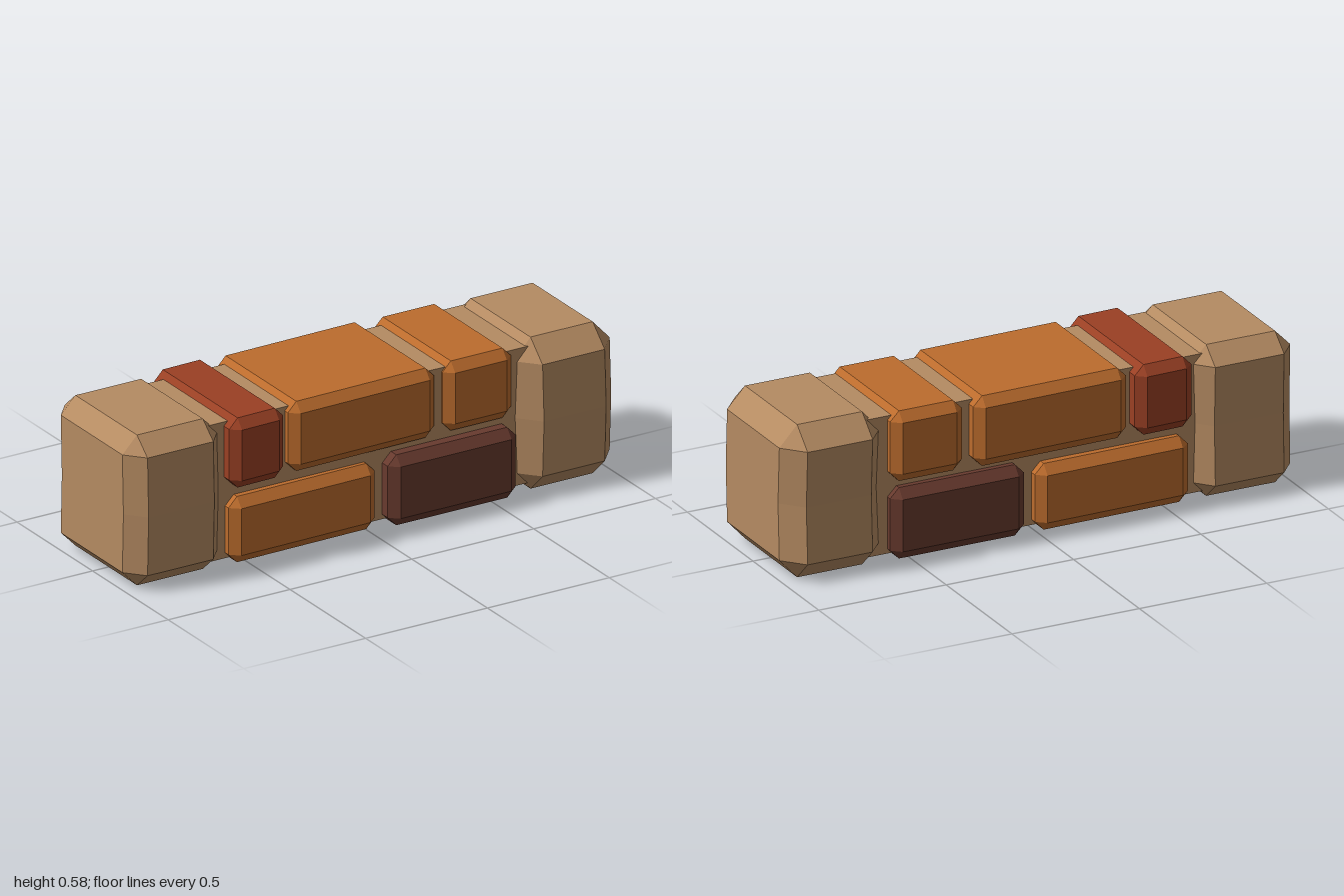
import * as THREE from 'three';

const mat = (name, color) => new THREE.MeshStandardMaterial({ name, color });

// Chamfered stone spanning lo..hi, with bevel c per axis.
// bow pushes the middle height toward +z; skew slides z along x.
function stone(lo, hi, c, bow = 0, skew = 0) {
  const g = new THREE.BoxGeometry(2, 2, 2, 4, 4, 4).toNonIndexed();
  const p = g.attributes.position;
  const half = lo.map((v, i) => (hi[i] - v) / 2);
  const mid = lo.map((v, i) => (hi[i] + v) / 2);
  for (let i = 0; i < p.count; i++) {
    const u = [p.getX(i), p.getY(i), p.getZ(i)];
    const n = u.filter((v) => Math.abs(v) > 0.9).length;
    const q = u.map((v, a) => {
      const s = Math.sign(v);
      if (Math.abs(v) < 0.1) return 0;
      // rim vertices slide inward so that edges and corners become flat bevels
      const inset = Math.abs(v) > 0.9 ? (c[a] * (n - 1)) / n : c[a];
      return s * (half[a] - inset);
    });
    const rise = Math.max(0, 1 - Math.abs(q[1]) / (half[1] - c[1]));
    q[2] += bow * rise + skew * (q[0] / half[0]);
    p.setXYZ(i, q[0] + mid[0], q[1] + mid[1], q[2] + mid[2]);
  }
  g.computeVertexNormals();
  return g;
}

export function createModel() {
  const model = new THREE.Group();
  model.name = 'brickWall';
  const sand = mat('sandstone', 0xb58b62);
  const orange = mat('orangeBrick', 0xbc6c2d);
  const red = mat('redBrick', 0x9a4024);
  const dark = mat('darkBrick', 0x683a2e);

  const add = (name, geometry, material) => {
    const m = new THREE.Mesh(geometry, material);
    m.name = name;
    model.add(m);
  };

  // Mortar core between the pillars
  const core = new THREE.BoxGeometry(1.4, 0.52, 0.425);
  core.translate(0, 0.29, -0.005);
  add('mortarCore', core, sand);

  // End pillars
  add('rightPillar', stone([-1, 0.005, -0.28], [-0.61, 0.577, 0.267], [0.06, 0.062, 0.07], 0.007), sand);
  add('leftPillar', stone([0.605, 0, -0.28], [1, 0.577, 0.277], [0.07, 0.076, 0.08], 0.01), sand);

  // Bricks running through the wall from front to back
  const b = [0.035, 0.036, 0.03];
  add('upperRedBrick', stone([-0.59, 0.305, -0.285], [-0.365, 0.57, 0.27], b, 0, -0.003), red);
  add('upperLongBrick', stone([-0.34, 0.305, -0.275], [0.265, 0.57, 0.253], b, 0, -0.005), orange);
  add('upperShortBrick', stone([0.303, 0.305, -0.268], [0.585, 0.57, 0.243], b), orange);
  add('lowerLongBrick', stone([-0.585, 0.015, -0.27], [0.02, 0.265, 0.256], b, 0, -0.004), orange);
  add('lowerDarkBrick', stone([0.06, 0.012, -0.268], [0.585, 0.28, 0.274], b), dark);

  return model;
}
